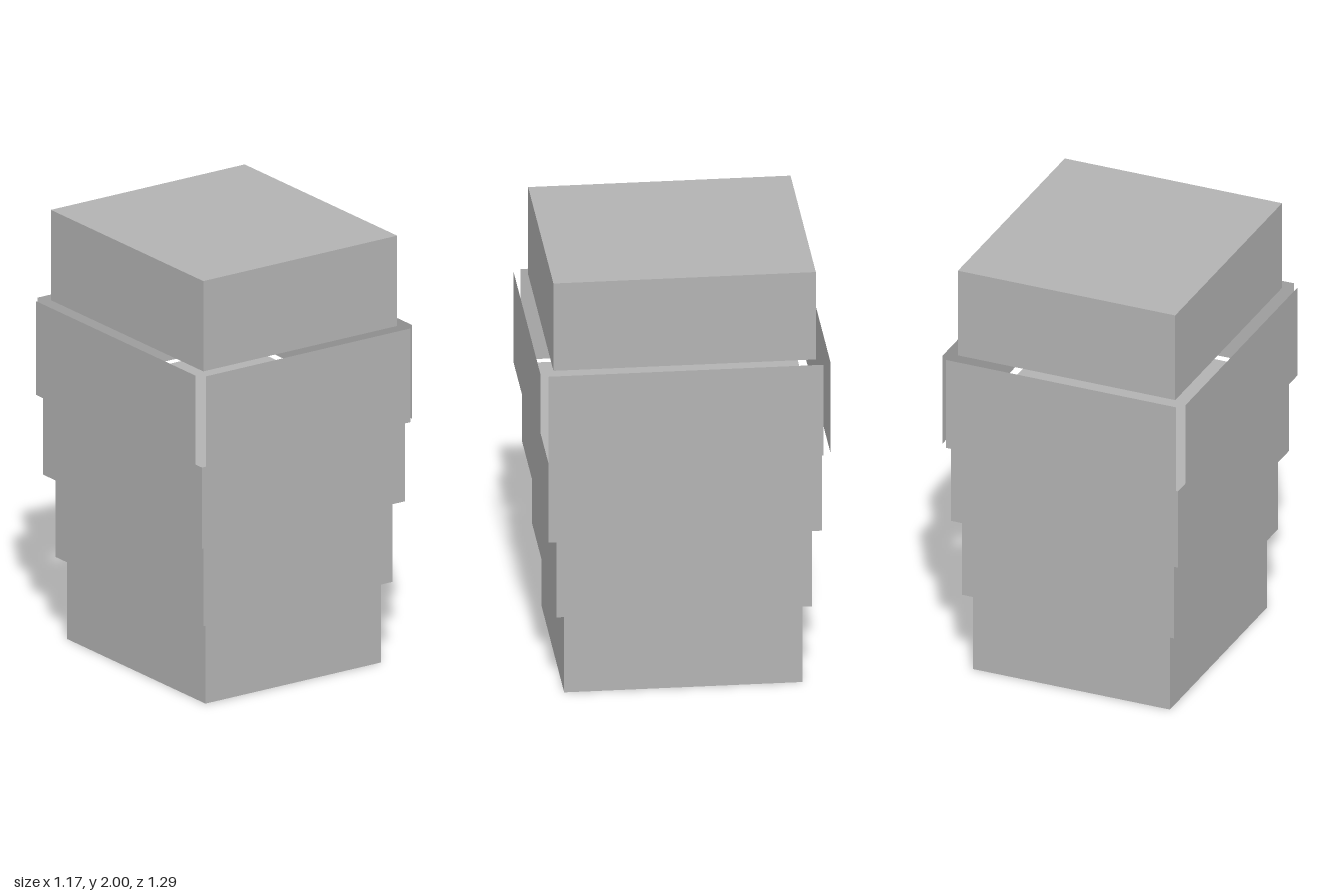
import * as THREE from 'three';

export function createModel() {
  const group = new THREE.Group();
  const grey = new THREE.MeshStandardMaterial({ color: 0xb3b3b3 });
  grey.name = 'grey';
  // the wall panels are open sheets, so they share the grey on both sides
  grey.side = THREE.DoubleSide;

  const add = (name, geometry, x, y, z, turn = 0) => {
    const mesh = new THREE.Mesh(geometry, grey);
    mesh.name = name;
    mesh.position.set(x, y, z);
    mesh.rotation.y = turn;
    group.add(mesh);
  };

  // stacked blocks: name, width, depth, bottom, top
  const blocks = [
    ['lowerBlock', 0.95, 1.058, 0, 0.38],
    ['middleBlock', 1.022, 1.132, 0.38, 0.76],
    ['upperBlock', 1.096, 1.212, 0.76, 1.14],
    ['topBlock', 1.048, 1.164, 1.578, 2],
  ];
  for (const [name, w, d, y0, y1] of blocks) {
    add(name, new THREE.BoxGeometry(w, y1 - y0, d), 0, (y0 + y1) / 2, 0);
  }

  // four thin panels with open corners around the hollow storey
  const y = 1.359, h = 0.438;
  for (const s of [1, -1]) {
    add(s > 0 ? 'frontPanel' : 'backPanel', new THREE.PlaneGeometry(1.108, h),
      0, y, s * 0.643, s > 0 ? 0 : Math.PI);
    add(s > 0 ? 'leftPanel' : 'rightPanel', new THREE.PlaneGeometry(1.22, h),
      s * 0.585, y, 0, s * Math.PI / 2);
  }
  return group;
}
